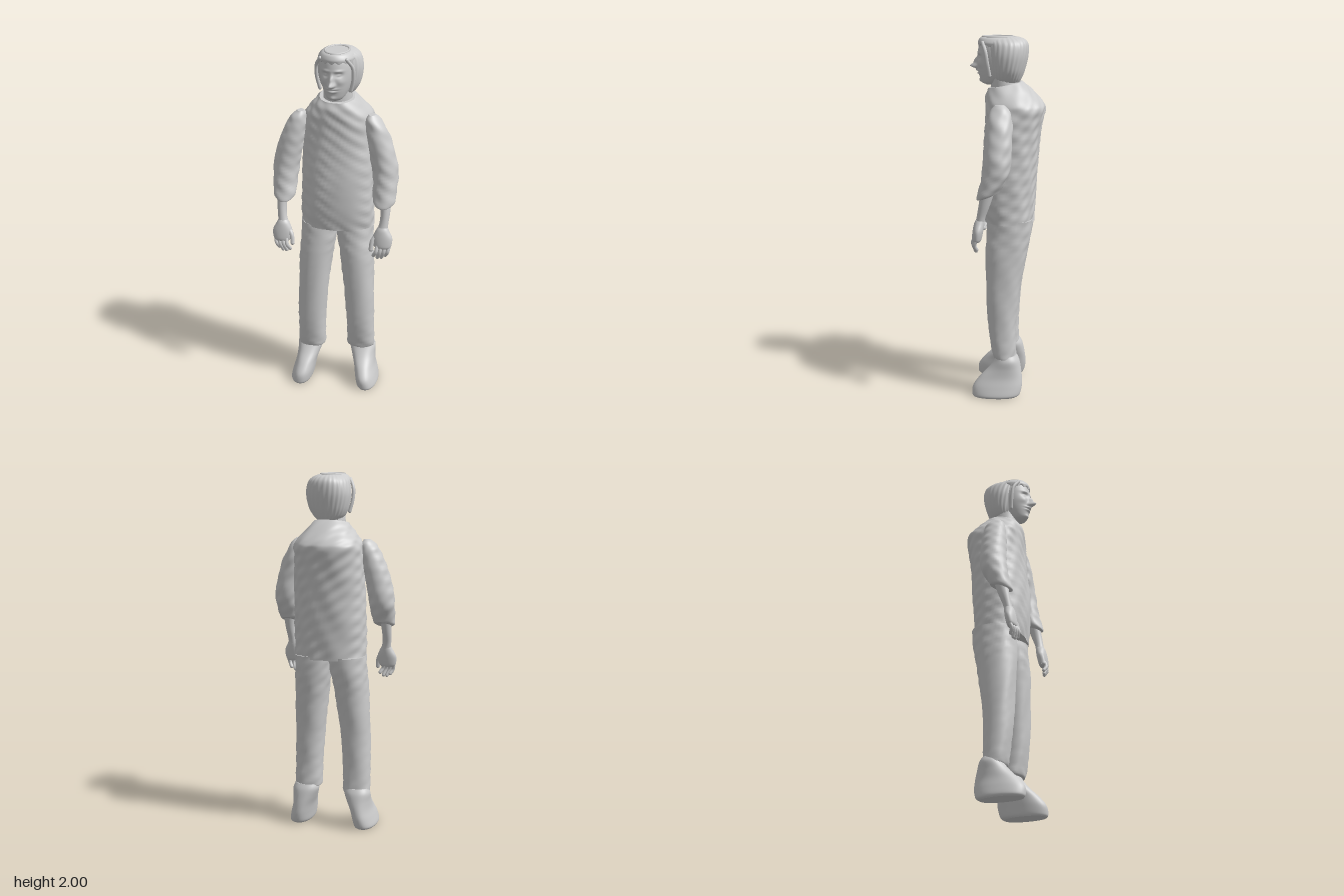
import * as THREE from 'three';

const grey = new THREE.MeshStandardMaterial({ color: 0xcccccc, side: THREE.DoubleSide });
grey.name = 'plain grey';

// Value of a smooth curve through a, b, c, d between b and c
function spline(a, b, c, d, t) {
  const m0 = (c - a) / 2, m1 = (d - b) / 2;
  return b + m0 * t + (3 * (c - b) - 2 * m0 - m1) * t * t + (2 * (b - c) + m0 + m1) * t ** 3;
}

// Skin over rows [y, xMin, xMax, zMin, zMax, tilt], listed from bottom to top
function loft(name, rows, { power = 2, sides = 40, steps = 6, rule = null } = {}) {
  const rings = [];
  for (let i = 0; i < rows.length - 1; i++) {
    const last = i === rows.length - 2;
    for (let s = 0; s < steps + (last ? 1 : 0); s++) {
      const r = k => rows[Math.min(rows.length - 1, Math.max(0, i + k))];
      rings.push([0, 1, 2, 3, 4, 5].map(j =>
        spline(r(-1)[j] || 0, r(0)[j] || 0, r(1)[j] || 0, r(2)[j] || 0, s / steps)));
    }
  }
  const pos = [], index = [], v = new THREE.Vector3();
  const addRing = ([y, x0, x1, z0, z1, tilt]) => {
    const start = pos.length / 3;
    for (let k = 0; k < sides; k++) {
      const a = k / sides * Math.PI * 2, c = Math.cos(a), s = Math.sin(a);
      const dx = Math.sign(c) * Math.abs(c) ** (2 / power) * (x1 - x0) / 2;
      const dz = Math.sign(s) * Math.abs(s) ** (2 / power) * (z1 - z0) / 2;
      v.set((x0 + x1) / 2 + dx, y + tilt * dz, (z0 + z1) / 2 + dz);
      if (rule) rule(v, c, s);
      pos.push(v.x, v.y, v.z);
    }
    return start;
  };
  const starts = rings.map(addRing);
  for (let i = 0; i < starts.length - 1; i++)
    for (let k = 0; k < sides; k++) {
      const n = (k + 1) % sides, a = starts[i], b = starts[i + 1];
      index.push(a + k, b + k, a + n, a + n, b + k, b + n);
    }
  // End caps use their own ring so the rim stays sharp
  [[rings[0], false], [rings[rings.length - 1], true]].forEach(([ring, top]) => {
    const a = addRing(ring), mid = pos.length / 3;
    pos.push((ring[1] + ring[2]) / 2, ring[0], (ring[3] + ring[4]) / 2);
    for (let k = 0; k < sides; k++) {
      const n = (k + 1) % sides;
      if (top) index.push(a + k, mid, a + n);
      else index.push(a + k, a + n, mid);
    }
  });
  const g = new THREE.BufferGeometry();
  g.setAttribute('position', new THREE.Float32BufferAttribute(pos, 3));
  g.setIndex(index);
  g.computeVertexNormals();
  const mesh = new THREE.Mesh(g, grey);
  mesh.name = name;
  return mesh;
}

// Rounded strand through a few points
function strand(name, points, radius) {
  const curve = new THREE.CatmullRomCurve3(points.map(p => new THREE.Vector3(...p)));
  const group = new THREE.Group();
  group.name = name;
  group.add(new THREE.Mesh(new THREE.TubeGeometry(curve, 12, radius, 8), grey));
  [0, 1].forEach(t => {
    const tip = new THREE.Mesh(new THREE.SphereGeometry(radius, 8, 6), grey);
    tip.position.copy(curve.getPoint(t));
    group.add(tip);
  });
  return group;
}

// Small cloth dents pushed along the outline
const cloth = amount => (v, c, s) => {
  const n = Math.sin(v.x * 47 + v.y * 31) * Math.sin(v.y * 53 - v.z * 41) + 0.5 * Math.sin(v.y * 83 + v.x * 71 + v.z * 59);
  v.x += c * n * amount;
  v.z += s * n * amount;
};

// Brow, eyes, nose, lips and chin as soft bumps: [x, y, width, height, depth]
const features = [
  [0, 1.835, 0.013, 0.014, 0.04], [0, 1.862, 0.01, 0.022, 0.022],
  [0, 1.812, 0.026, 0.006, 0.011], [0, 1.797, 0.022, 0.006, 0.01],
  [0, 1.804, 0.026, 0.003, -0.006], [0, 1.757, 0.02, 0.012, 0.01]];
[-1, 1].forEach(s => features.push(
  [s * 0.036, 1.887, 0.018, 0.012, -0.014], [s * 0.036, 1.886, 0.011, 0.006, 0.009],
  [s * 0.036, 1.908, 0.022, 0.007, 0.006], [s * 0.013, 1.831, 0.007, 0.008, 0.012],
  [s * 0.05, 1.85, 0.018, 0.018, 0.006]));
function faceRule(v) {
  if (v.z < 0.02) return;
  const { x, y } = v;
  features.forEach(([fx, fy, w, h, d]) => {
    v.z += d * Math.exp(-(((x - fx) / w) ** 2) - ((y - fy) / h) ** 2);
  });
}

function buildHead() {
  const head = new THREE.Group();
  head.name = 'head';
  head.position.set(0.012, 0, 0.04);
  head.rotation.y = -0.09;
  head.add(loft('face', [
    [1.735, -0.02, 0.02, 0.03, 0.075], [1.75, -0.045, 0.045, 0, 0.1], [1.785, -0.066, 0.066, -0.06, 0.115],
    [1.83, -0.08, 0.08, -0.08, 0.122], [1.88, -0.088, 0.088, -0.09, 0.124], [1.93, -0.088, 0.088, -0.09, 0.12],
    [1.965, -0.078, 0.078, -0.08, 0.108], [1.985, -0.055, 0.055, -0.06, 0.075]],
  { sides: 96, steps: 12, rule: faceRule }));
  // Swept-back hair with fine grooves
  const grooves = (v, c, s) => {
    const n = 0.0018 * Math.sin(Math.atan2(s, c) * 26 + v.y * 30);
    v.x += c * n;
    v.z += s * n;
  };
  head.add(loft('backHair', [
    [1.75, -0.065, 0.065, -0.105, 0.02], [1.775, -0.09, 0.09, -0.118, 0.035], [1.82, -0.11, 0.113, -0.135, 0.045],
    [1.89, -0.122, 0.124, -0.152, 0.06], [1.95, -0.112, 0.114, -0.153, 0.07], [1.98, -0.09, 0.09, -0.135, 0.08],
    [1.994, -0.06, 0.06, -0.1, 0.06]],
  { power: 2.2, sides: 96, rule: grooves }));
  head.add(loft('frontHair', [
    [1.948, -0.094, 0.094, -0.09, 0.119], [1.965, -0.095, 0.095, -0.1, 0.122],
    [1.985, -0.082, 0.082, -0.1, 0.113], [1.994, -0.066, 0.066, -0.09, 0.1]],
  { sides: 96, rule: (v, c, s) => { if (v.y < 1.955) v.y += 0.006 * Math.sin(Math.atan2(s, c) * 15); } }));
  const rim = new THREE.Mesh(new THREE.TorusGeometry(0.062, 0.006, 8, 48), grey);
  rim.name = 'crownRim';
  rim.rotation.x = Math.PI / 2;
  rim.scale.set(1, 1.35, 1);
  rim.position.set(0, 1.994, 0.01);
  head.add(rim);
  [-1, 1].forEach(s => head.add(strand('sideLock', [
    [s * 0.072, 1.965, 0.085], [s * 0.098, 1.92, 0.065], [s * 0.1, 1.86, 0.055], [s * 0.085, 1.79, 0.045]], 0.01)));
  return head;
}

export function createModel() {
  const model = new THREE.Group();
  model.name = 'standingFigure';
  const side = (s, rows) => rows.map(([y, a, b, ...rest]) => s > 0 ? [y, a, b, ...rest] : [y, -b, -a, ...rest]);

  model.add(loft('tunic', [
    [0.985, -0.197, 0.207, -0.148, 0.125], [1.1, -0.197, 0.207, -0.155, 0.14], [1.25, -0.195, 0.207, -0.165, 0.142],
    [1.4, -0.19, 0.203, -0.175, 0.13], [1.52, -0.185, 0.198, -0.19, 0.122], [1.6, -0.182, 0.194, -0.207, 0.12],
    [1.64, -0.17, 0.182, -0.195, 0.12], [1.69, -0.13, 0.14, -0.14, 0.118, -0.08],
    [1.735, -0.09, 0.1, -0.08, 0.105, -0.2]],
  { power: 2.3, sides: 72, steps: 8, rule: cloth(0.0035) }));
  model.add(loft('neck', [
    [1.66, -0.075, 0.09, -0.06, 0.09], [1.72, -0.072, 0.09, -0.06, 0.09], [1.8, -0.065, 0.085, -0.05, 0.09]]));
  model.add(buildHead());

  [-1, 1].forEach(s => {
    const label = s > 0 ? 'left' : 'right';
    const cuff = s > 0 ? 0.22 : 0.2;
    model.add(loft(label + 'Trouser', side(s, [
      [cuff, 0.078, 0.215, -0.045, 0.06], [cuff + 0.02, 0.066, 0.222, -0.056, 0.075], [0.4, 0.062, 0.22, -0.056, 0.1],
      [0.6, 0.046, 0.216, -0.076, 0.11], [0.8, 0.022, 0.21, -0.112, 0.116], [0.92, 0.002, 0.203, -0.135, 0.11],
      [1.0, -0.005, 0.2, -0.142, 0.104]]),
    { power: 2.2, rule: cloth(0.0025) }));
    model.add(loft(label + 'Shoe', side(s, [
      [0, 0.138, 0.248, -0.06, 0.178], [0.015, 0.13, 0.255, -0.08, 0.186], [0.06, 0.122, 0.245, -0.092, 0.182],
      [0.11, 0.112, 0.232, -0.092, 0.145], [0.16, 0.094, 0.228, -0.085, 0.095], [0.205, 0.08, 0.228, -0.075, 0.06],
      [0.235, 0.085, 0.215, -0.06, 0.045]]),
    { power: 2.2 }));
    model.add(loft(label + 'Sleeve', side(s, [
      [1.165, 0.23, 0.325, 0.025, 0.14, -0.4], [1.18, 0.216, 0.337, 0.015, 0.148, -0.4],
      [1.25, 0.21, 0.345, -0.02, 0.13, -0.25], [1.33, 0.203, 0.345, -0.035, 0.112], [1.42, 0.187, 0.328, -0.04, 0.105],
      [1.5, 0.172, 0.303, -0.042, 0.1], [1.58, 0.16, 0.268, -0.035, 0.088], [1.62, 0.162, 0.24, -0.02, 0.075],
      [1.643, 0.178, 0.212, 0.005, 0.055]]),
    { rule: cloth(0.003) }));
    model.add(loft(label + 'Forearm', side(s, [
      [1.0, 0.24, 0.305, 0.108, 0.16], [1.05, 0.258, 0.308, 0.1, 0.148], [1.12, 0.262, 0.315, 0.074, 0.136],
      [1.22, 0.25, 0.32, 0.04, 0.12]])));
    model.add(loft(label + 'Palm', side(s, [
      [0.915, 0.245, 0.318, 0.13, 0.168], [0.93, 0.232, 0.33, 0.122, 0.174], [0.975, 0.226, 0.334, 0.112, 0.17],
      [1.015, 0.242, 0.315, 0.106, 0.162], [1.035, 0.255, 0.305, 0.105, 0.152]])));
    // Four relaxed fingers and a thumb
    for (let i = 0; i < 4; i++) {
      const x = 0.318 - i * 0.021, z = 0.142 + i * 0.005;
      model.add(strand(label + 'Finger', [
        [s * x, 0.94, z], [s * (x - 0.006), 0.9, z + 0.016], [s * (x - 0.02), 0.862 + (i % 3 ? 0 : 0.012), z + 0.006]], 0.0105));
    }
    model.add(strand(label + 'Thumb', [
      [s * 0.245, 0.985, 0.14], [s * 0.226, 0.955, 0.155], [s * 0.22, 0.91, 0.165]], 0.0125));
  });
  return model;
}
